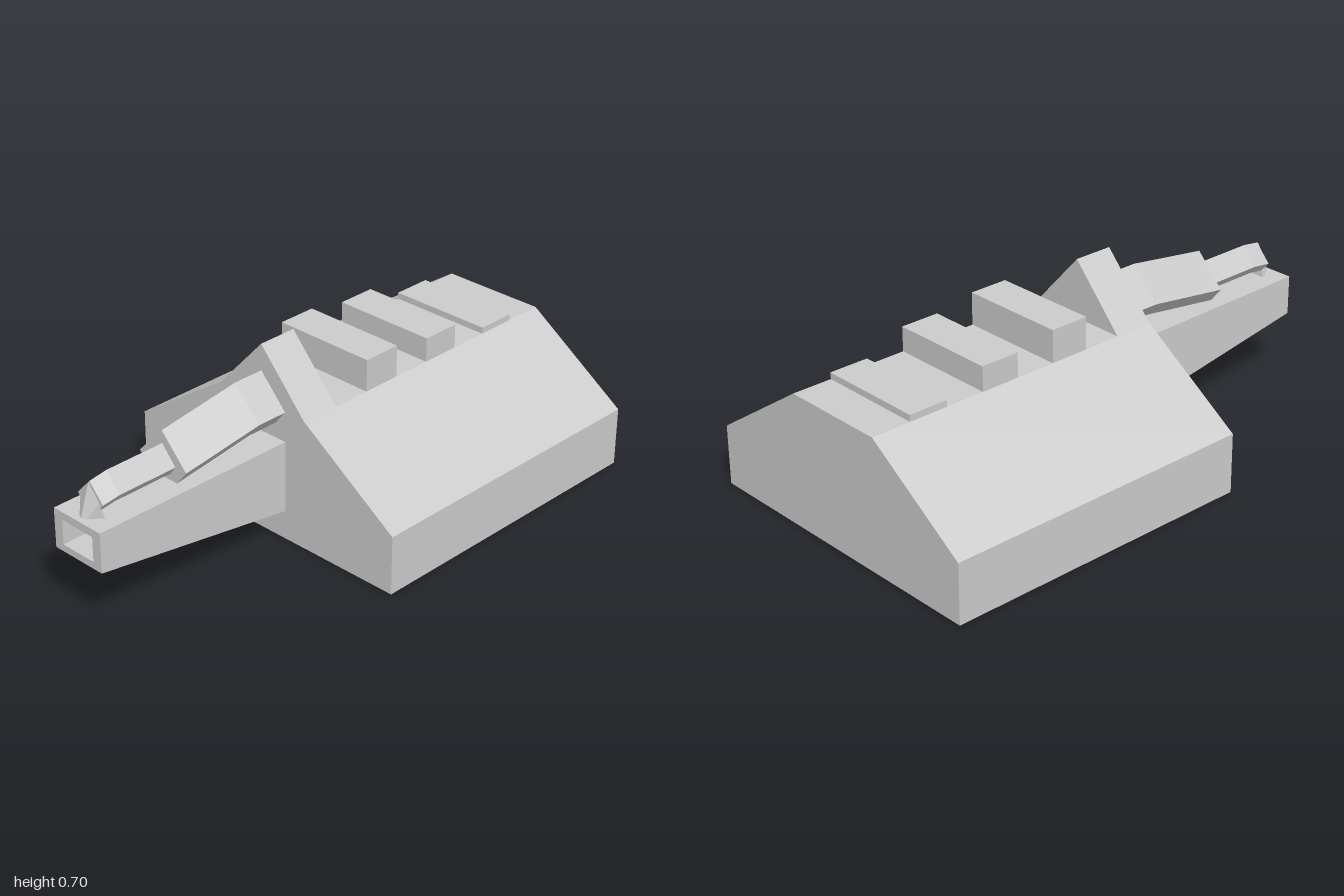
import * as THREE from 'three';
import { ConvexGeometry } from 'three/addons/geometries/ConvexGeometry.js';

const grey = new THREE.MeshStandardMaterial({ color: 0xcccccc, flatShading: true });

function add(group, name, geometry) {
  const mesh = new THREE.Mesh(geometry, grey);
  mesh.name = name;
  group.add(mesh);
  return mesh;
}

// Skin a series of convex cross-sections [z, [[x, y], ...]], counter-clockwise from the front
function loft(sections) {
  const n = sections[0][1].length;
  const pos = [];
  const put = (s, j) => pos.push(...sections[s][1][j % n], sections[s][0]);
  for (let s = 0; s < sections.length - 1; s++) {
    for (let j = 0; j < n; j++) {
      put(s, j); put(s, j + 1); put(s + 1, j + 1);
      put(s, j); put(s + 1, j + 1); put(s + 1, j);
    }
  }
  const last = sections.length - 1;
  for (let j = 1; j < n - 1; j++) {
    put(0, 0); put(0, j + 1); put(0, j);
    put(last, 0); put(last, j); put(last, j + 1);
  }
  const geometry = new THREE.BufferGeometry();
  geometry.setAttribute('position', new THREE.Float32BufferAttribute(pos, 3));
  geometry.computeVertexNormals();
  return geometry;
}

const rect = (w, y0, y1) => [[-w, y0], [w, y0], [w, y1], [-w, y1]];

// Ridged section: peak, eaves and a narrow flat underside
const ridge = (peak, eave, eaveW, low, lowW) =>
  [[-lowW, low], [lowW, low], [eaveW, eave], [0, peak], [-eaveW, eave]];

export function createModel() {
  const group = new THREE.Group();

  // Main body with sloping shoulders and a flat top
  const hull = [[-0.595, 0], [0.595, 0], [0.595, 0.22], [0.2, 0.488], [-0.2, 0.488], [-0.595, 0.22]];
  add(group, 'body', loft([[-1, hull], [0.19, hull]]));

  // Pointed crest at the front of the top
  const crest = [[-0.2, 0.486], [0.2, 0.486], [0, 0.705]];
  add(group, 'frontCrest', loft([[0.04, crest], [0.19, crest]]));

  // Row of blocks, getting lower towards the back
  [[-0.18, 0.607], [-0.48, 0.578], [-0.777, 0.512]].forEach(([z, top], i) => {
    const block = add(group, `topBlock${i + 1}`, new THREE.BoxGeometry(0.4, top - 0.48, 0.148));
    block.position.set(0, (top + 0.48) / 2, z);
  });

  // Tapered snout with a rectangular bore
  add(group, 'snout', loft([
    [0.19, rect(0.11, 0.11, 0.378)],
    [1, rect(0.11, 0.238, 0.385)],
    [1, rect(0.072, 0.264, 0.356)],
    [0.6, rect(0.072, 0.264, 0.356)],
  ]));

  // Large ridged beam, bending down towards the front
  add(group, 'upperBeam', loft([
    [0.18, ridge(0.607, 0.49, 0.11, 0.435, 0.065)],
    [0.31, ridge(0.607, 0.49, 0.11, 0.435, 0.065)],
    [0.635, ridge(0.56, 0.445, 0.11, 0.39, 0.065)],
  ]));

  // Smaller ridged beam in front of it
  add(group, 'lowerBeam', loft([
    [0.6, ridge(0.513, 0.447, 0.06, 0.414, 0.035)],
    [0.87, ridge(0.513, 0.447, 0.06, 0.414, 0.035)],
    [0.94, ridge(0.503, 0.438, 0.06, 0.405, 0.035)],
  ]));

  // Wedge-shaped tip standing on the snout
  add(group, 'tip', new ConvexGeometry([
    [0, 0.502, 0.945], [-0.045, 0.44, 0.942], [0.045, 0.44, 0.942],
    [-0.058, 0.352, 0.92], [0.058, 0.352, 0.92], [0, 0.352, 0.992],
  ].map((p) => new THREE.Vector3(...p))));

  return group;
}
